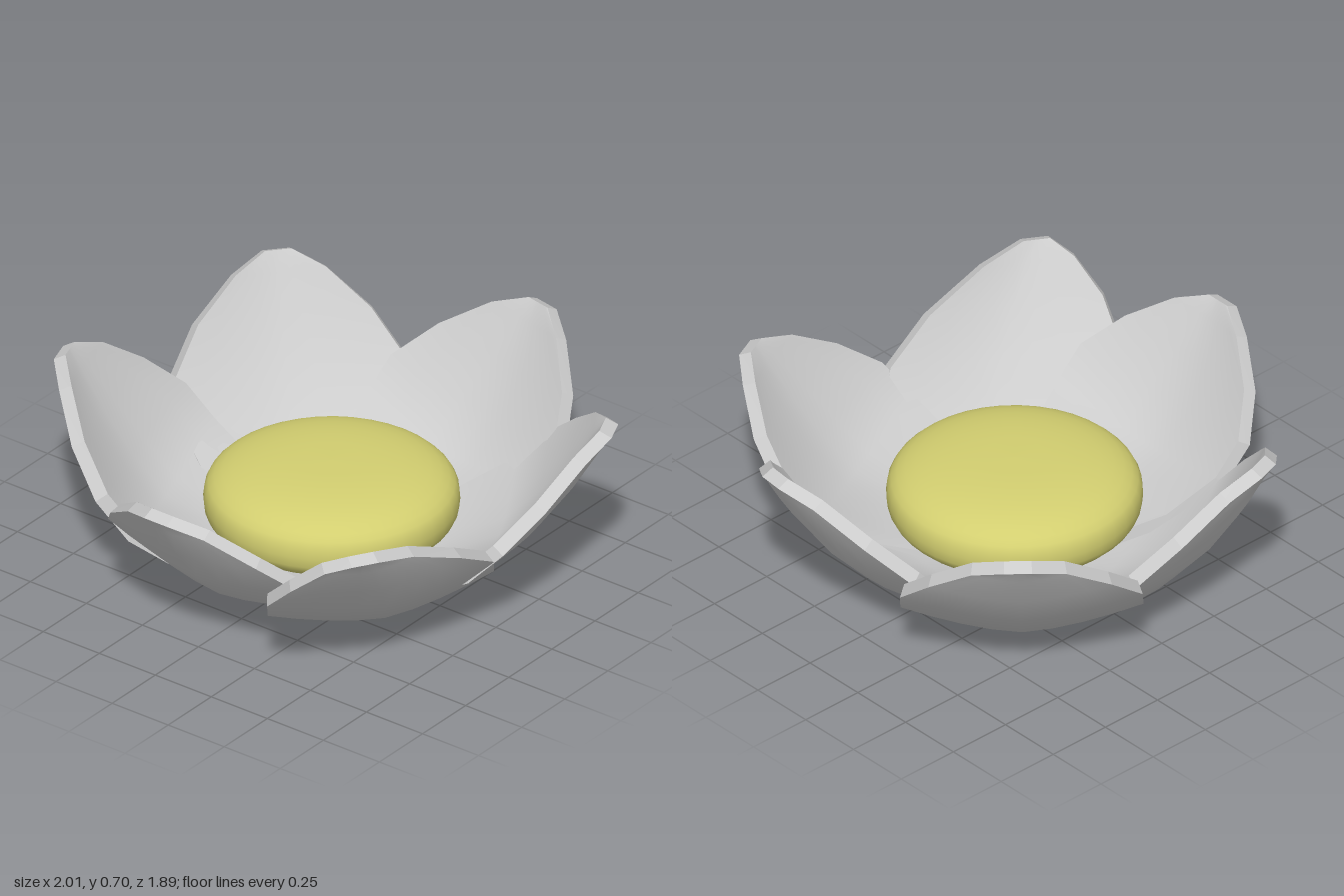
import * as THREE from 'three';

const grey = new THREE.MeshStandardMaterial({ color: 0xcccccc, side: THREE.DoubleSide });
const yellow = new THREE.MeshStandardMaterial({ color: 0xd2ce70 });

// Petal cross-sections from base tongue to tip: [radius, height, half width, edge rise]
const ROWS = [
  [-0.38, 0.13, 0.03, 0], [-0.22, 0.07, 0.1, 0], [0, 0, 0.2, 0.01], [0.2, 0.01, 0.29, 0.02],
  [0.4, 0.03, 0.37, 0.045], [0.63, 0.11, 0.43, 0.11], [0.77, 0.27, 0.43, 0.115],
  [0.88, 0.44, 0.325, 0.08], [0.96, 0.59, 0.17, 0.04], [1, 0.66, 0.05, 0],
];
const COLS = 8, THICK = 0.05;

// Thick cupped petal: smooth outer and inner skins joined by a sharp rim
function petalGeometry(length, height, skew) {
  const last = ROWS.length - 1;
  const point = (i, j, inner) => {
    const [r, y, w, cup] = ROWS[i];
    const p = ROWS[Math.max(i - 1, 0)], q = ROWS[Math.min(i + 1, last)];
    const n = new THREE.Vector2(-(q[1] - p[1]), q[0] - p[0]).normalize();
    const u = (j / COLS) * 2 - 1;
    const rise = cup * Math.abs(u) ** 1.5, thick = inner ? THICK : 0;
    const lean = skew * Math.max(0, r) ** 4;
    return [(r + n.x * (rise * 0.6 + thick)) * length, (y + n.y * (rise + thick)) * height / 0.69,
      u * w * (inner ? 0.96 : 1) + lean];
  };
  const pos = [], index = [];
  for (const inner of [false, true]) {
    const base = pos.length / 3;
    for (let i = 0; i <= last; i++)
      for (let j = 0; j <= COLS; j++) pos.push(...point(i, j, inner));
    for (let i = 0; i < last; i++) {
      for (let j = 0; j < COLS; j++) {
        const a = base + i * (COLS + 1) + j, b = a + COLS + 1;
        if (inner) index.push(a, a + 1, b, b, a + 1, b + 1);
        else index.push(a, b, a + 1, b, b + 1, a + 1);
      }
    }
  }
  // Rim around the outline
  const loop = [];
  for (let i = 0; i < last; i++) loop.push([i, 0]);
  for (let j = 0; j < COLS; j++) loop.push([last, j]);
  for (let i = last; i > 0; i--) loop.push([i, COLS]);
  for (let j = COLS; j > 0; j--) loop.push([0, j]);
  loop.forEach((a, k) => {
    const b = loop[(k + 1) % loop.length], s = pos.length / 3;
    pos.push(...point(...a, false), ...point(...b, false), ...point(...a, true), ...point(...b, true));
    index.push(s + 1, s, s + 2, s + 1, s + 2, s + 3);
  });
  const geo = new THREE.BufferGeometry();
  geo.setAttribute('position', new THREE.Float32BufferAttribute(pos, 3));
  geo.setIndex(index);
  geo.computeVertexNormals();
  return geo;
}

export function createModel() {
  const flower = new THREE.Group();
  flower.name = 'flower';

  // Petals: direction in degrees, length, base height, tip height, tip skew, roll
  const petals = [
    ['leftPetal', 8, 1.02, 0.04, 0.7, 0.04, 0.04],
    ['frontLeftPetal', 66, 1.03, 0.055, 0.67, -0.06, 0],
    ['frontRightPetal', 121, 1.05, 0.045, 0.64, 0.27, 0],
    ['rightPetal', 180, 1, 0.07, 0.65, 0, 0],
    ['backRightPetal', 252, 1, 0, 0.71, -0.03, 0],
    ['backLeftPetal', 311, 1.08, 0.03, 0.69, 0.03, 0],
  ];
  for (const [name, angle, length, base, tip, skew, roll] of petals) {
    const petal = new THREE.Mesh(petalGeometry(length, tip - base, skew), grey);
    petal.name = name;
    petal.rotation.set(roll, -THREE.MathUtils.degToRad(angle), 0, 'YXZ');
    petal.position.y = base;
    flower.add(petal);
  }

  // Flattened, softly squared centre
  const profile = [];
  for (let k = 0; k <= 20; k++) {
    const t = -Math.PI / 2 + (Math.PI * k) / 20;
    const c = Math.max(0, Math.cos(t)), s = Math.sin(t);
    profile.push(new THREE.Vector2(0.455 * c ** 0.75, 0.15 * Math.sign(s) * Math.abs(s) ** 0.75));
  }
  const centre = new THREE.Mesh(new THREE.LatheGeometry(profile, 40), yellow);
  centre.name = 'flowerCentre';
  centre.position.set(0.01, 0.27, 0.01);
  flower.add(centre);

  return flower;
}
